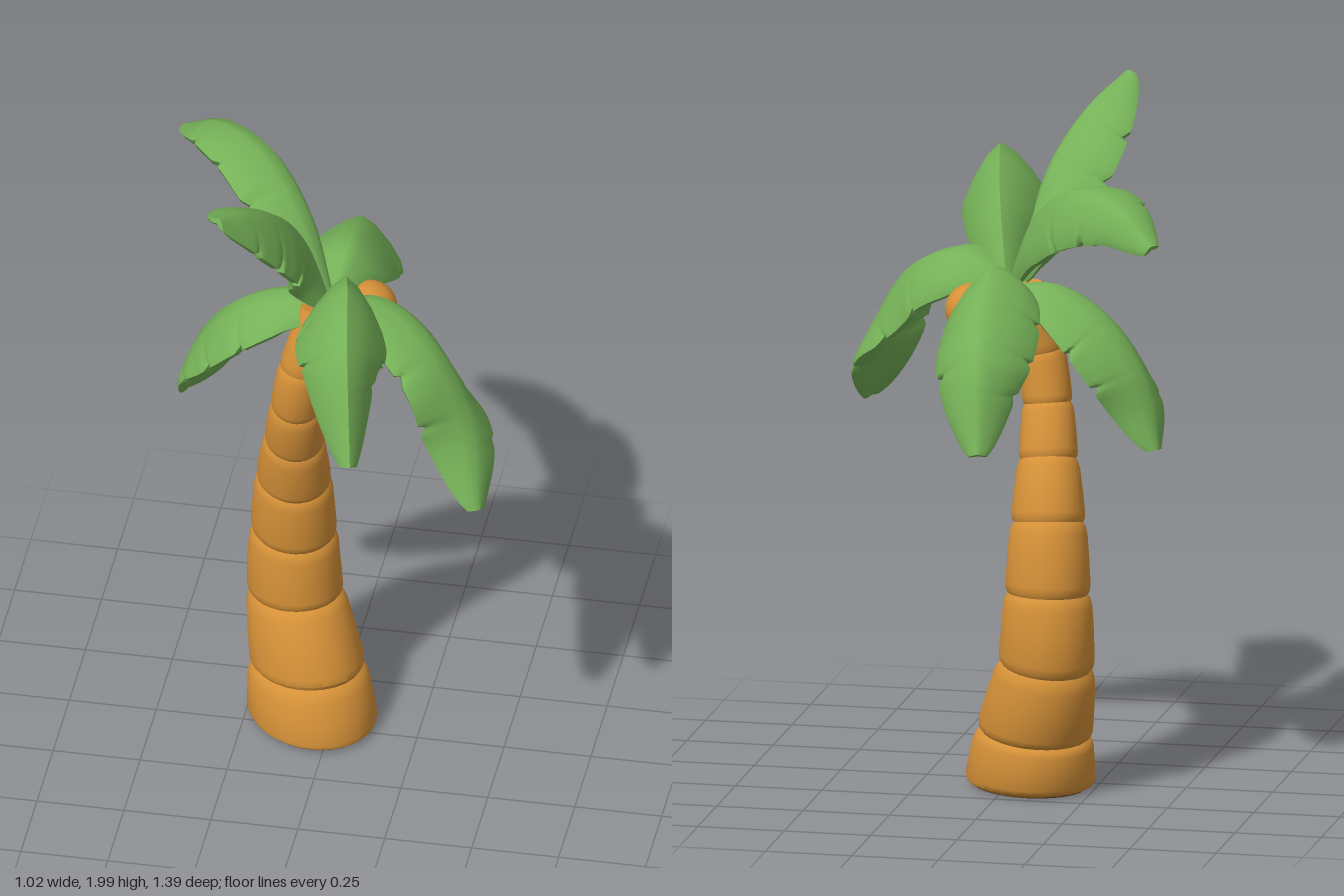
import * as THREE from 'three';
import { toCreasedNormals } from 'three/addons/utils/BufferGeometryUtils.js';

const V = (p) => new THREE.Vector3(...p);
const UP = new THREE.Vector3(0, 1, 0);

// Skins a list of rings {center, tangent, points: [side, normal] pairs} and closes both ends.
// A positive roll lowers the +side edge.
function sweep(rings, ref, crease, roll = 0) {
  const pos = [], idx = [], n = rings[0].points.length;
  for (const { center, tangent, points } of rings) {
    const side = tangent.clone().cross(ref).normalize().applyAxisAngle(tangent, roll);
    const normal = side.clone().cross(tangent).normalize();
    for (const [s, h] of points) {
      const p = center.clone().addScaledVector(side, s).addScaledVector(normal, h);
      pos.push(p.x, p.y, p.z);
    }
  }
  for (let i = 0; i < rings.length - 1; i++) {
    for (let j = 0; j < n; j++) {
      const k = (j + 1) % n, a = i * n + j, b = i * n + k;
      idx.push(a, b, b + n, a, b + n, a + n);
    }
  }
  // end caps as fans around a middle point
  const last = (rings.length - 1) * n;
  for (const [start, flip] of [[0, true], [last, false]]) {
    const mid = new THREE.Vector3();
    for (let j = 0; j < n; j++) mid.add(new THREE.Vector3().fromArray(pos, (start + j) * 3));
    mid.divideScalar(n);
    const m = pos.length / 3;
    pos.push(mid.x, mid.y, mid.z);
    for (let j = 0; j < n; j++) {
      const a = start + j, b = start + (j + 1) % n;
      if (flip) idx.push(m, b, a); else idx.push(m, a, b);
    }
  }
  const geo = new THREE.BufferGeometry();
  geo.setAttribute('position', new THREE.Float32BufferAttribute(pos, 3));
  geo.setIndex(idx);
  return toCreasedNormals(geo, crease);
}

// Trunk joints: x, y, z, radius
const JOINTS = [
  [-0.06, 0.006, -0.055, 0.187], [-0.08, 0.16, -0.085, 0.166], [-0.125, 0.37, -0.14, 0.138],
  [-0.13, 0.58, -0.14, 0.123], [-0.125, 0.78, -0.11, 0.107], [-0.113, 0.95, -0.055, 0.085],
  [-0.1, 1.1, -0.005, 0.071], [-0.08, 1.25, 0.012, 0.064], [-0.035, 1.45, -0.02, 0.048],
];

function trunkGeometry() {
  const curve = new THREE.CatmullRomCurve3(JOINTS.map((j) => V(j.slice(0, 3))));
  const count = JOINTS.length - 1, rings = [];
  // each segment bulges between two pinched grooves
  const profile = [[0, 0.93], [0.05, 0.99], [0.14, 1.02], [0.5, 1.03], [0.84, 1.03], [0.95, 0.99]];
  for (let i = 0; i < count; i++) {
    for (const [u, f] of profile) {
      const t = (i + u) / count;
      const r = THREE.MathUtils.lerp(JOINTS[i][3], JOINTS[i + 1][3], u) * f;
      // rings lie level at the foot and follow the bend higher up
      const tangent = curve.getTangent(t).lerp(UP, Math.max(0, 1 - (i + u) / 3)).normalize();
      const points = [];
      for (let k = 0; k < 28; k++) {
        const a = (k / 28) * Math.PI * 2;
        const oval = r * (1 + 0.08 * (1 - t) * Math.sin(2 * a));
        points.push([Math.sin(a) * oval, Math.cos(a) * oval]);
      }
      rings.push({ center: curve.getPoint(t), tangent, points });
    }
  }
  return sweep(rings, new THREE.Vector3(0, 0, 1), 0.6);
}

// Leaves: ridge path, half width, droop of the edges, roll about the path
const LEAVES = [
  { name: 'frontLeaf', width: 0.13, drop: 0.18, roll: -0.1,
    path: [[0.015, 1.48, -0.04], [0.065, 1.66, 0.12], [0.105, 1.755, 0.3], [0.145, 1.7, 0.52], [0.185, 1.41, 0.69]] },
  { name: 'leftLeaf', width: 0.155, drop: 0.08, roll: -0.45,
    path: [[0.0, 1.47, -0.04], [0.16, 1.52, 0.01], [0.31, 1.46, 0.1], [0.43, 1.29, 0.18], [0.485, 1.03, 0.3]] },
  { name: 'backLeaf', width: 0.145, drop: 0.13, roll: 0.15,
    path: [[0, 1.47, -0.04], [0.015, 1.54, -0.2], [0.01, 1.485, -0.4], [-0.015, 1.36, -0.58], [-0.045, 1.11, -0.7]] },
  { name: 'backRightLeaf', width: 0.13, drop: 0.1, roll: 0.55,
    path: [[0, 1.47, -0.04], [-0.09, 1.67, -0.15], [-0.22, 1.785, -0.28], [-0.37, 1.785, -0.4], [-0.505, 1.69, -0.495]] },
  { name: 'rightLeaf', width: 0.15, drop: 0.09, roll: 0,
    path: [[0, 1.45, -0.04], [-0.14, 1.46, -0.06], [-0.29, 1.38, -0.095], [-0.4, 1.23, -0.13], [-0.455, 1.02, -0.165]] },
  { name: 'uprightLeaf', width: 0.14, drop: 0.1, roll: -0.3,
    path: [[-0.01, 1.47, -0.04], [-0.065, 1.67, 0.0], [-0.12, 1.825, 0.1], [-0.185, 1.93, 0.23], [-0.25, 1.99, 0.365]] },
];

// Narrow slit in the leaf edge: a sharp step inward that soon fades out
const notch = (t, cuts) => cuts.reduce((f, c) => {
  const d = t - c;
  return d >= 0 && d < 0.045 ? f * (1 - 0.14 * (1 - d / 0.045)) : f;
}, 1);

// Half cross-section from ridge over the edge to the underside:
// fraction of width, fraction of droop, fraction of thickness
const HALF = [[0.3, -0.16, 0], [0.65, -0.5, 0], [0.92, -0.86, 0], [1, -1, -0.15], [0.86, -0.95, -0.45], [0.45, -0.55, -0.9]];

function leafGeometry({ path, width, drop, roll }) {
  const curve = new THREE.CatmullRomCurve3(path.map(V));
  const rings = [], steps = 72;
  for (let i = 0; i <= steps; i++) {
    const t = i / steps;
    const size = Math.pow(Math.sin(Math.PI * (0.05 + 0.925 * t)), 0.65);
    const right = size * notch(t, [0.45, 0.68]);
    const left = size * notch(t, [0.38, 0.6, 0.78]);
    const thick = 0.055 * Math.min(1, size * 1.2);
    const at = (f, sign) => ([w, d, h]) => [sign * w * f * width, d * f * drop + h * thick];
    const points = [
      [0, 0], ...HALF.map(at(right, 1)),
      [0, -0.2 * drop * size - thick],
      ...HALF.map(at(left, -1)).reverse(),
    ];
    rings.push({ center: curve.getPointAt(t), tangent: curve.getTangentAt(t), points });
  }
  return sweep(rings, UP, 0.9, roll);
}

export function createModel() {
  const model = new THREE.Group();
  model.name = 'palmTree';
  const bark = new THREE.MeshStandardMaterial({ name: 'barkOrange', color: 0xd59138 });
  const dark = new THREE.MeshStandardMaterial({ name: 'darkBrown', color: 0x6e481c });
  const green = new THREE.MeshStandardMaterial({ name: 'leafGreen', color: 0x76b258 });

  const add = (name, geo, mat) => {
    const mesh = new THREE.Mesh(geo, mat);
    mesh.name = name;
    model.add(mesh);
    return mesh;
  };

  add('trunk', trunkGeometry(), bark);

  // dark oval sole under the trunk
  const sole = add('sole', new THREE.CylinderGeometry(0.168, 0.165, 0.009, 28), dark);
  sole.scale.set(1.08, 1, 0.92);
  sole.rotation.y = -Math.PI / 4;
  sole.position.set(-0.06, 0.0045, -0.055);

  // coconuts hanging under the crown
  const nut = new THREE.SphereGeometry(1, 28, 20);
  const lower = add('lowerCoconut', nut, bark);
  lower.position.set(0.07, 1.295, 0.0);
  lower.scale.set(0.078, 0.088, 0.076);
  const upper = add('upperCoconut', nut, bark);
  upper.position.set(0.09, 1.39, -0.12);
  upper.scale.set(0.08, 0.075, 0.083);

  for (const leaf of LEAVES) add(leaf.name, leafGeometry(leaf), green);
  return model;
}
